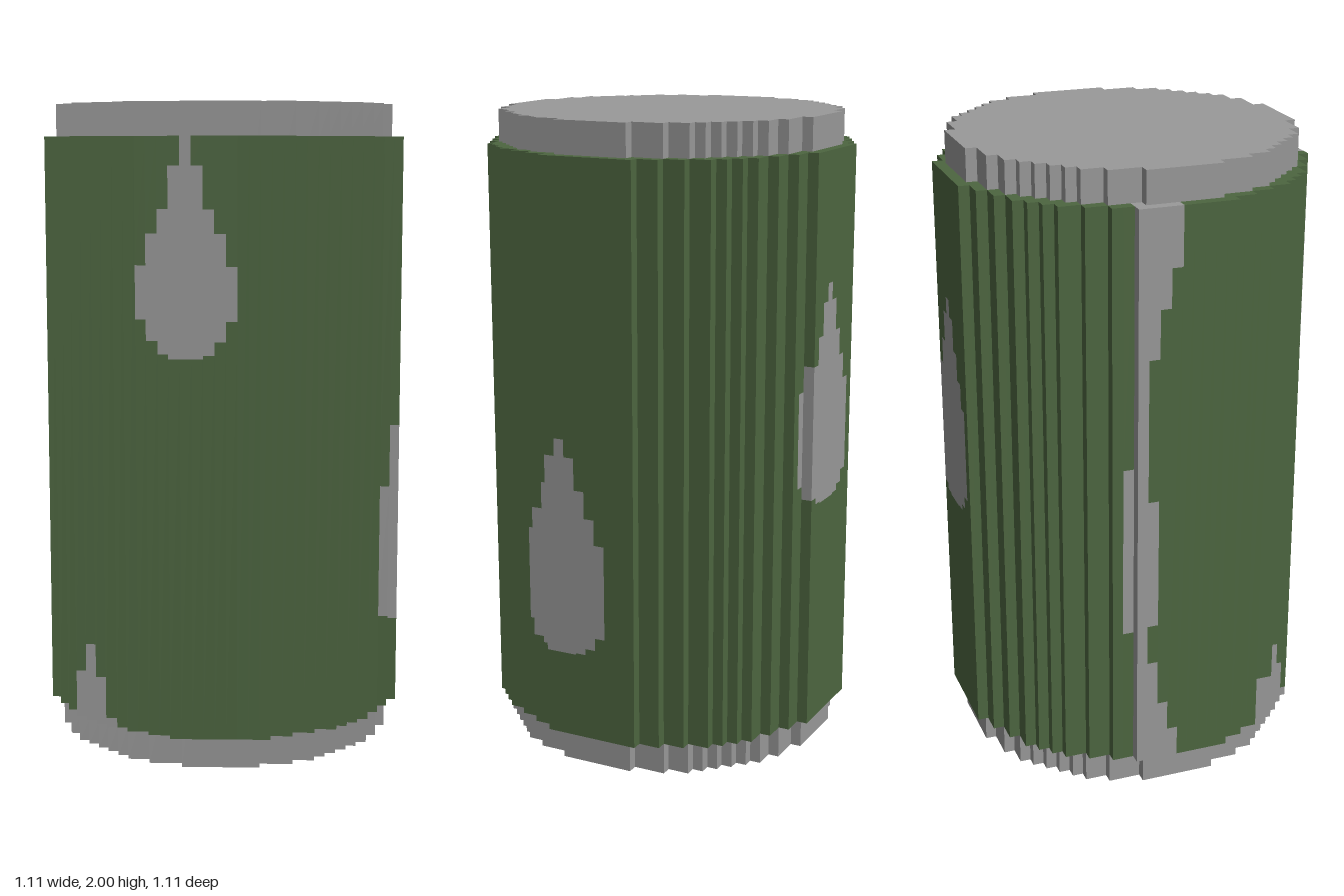
import * as THREE from 'three';
import { mergeGeometries } from 'three/addons/utils/BufferGeometryUtils.js';

const V = 0.0337;           // size of one block
const LOW = 0.1, HIGH = 1.9; // vertical extent of the painted sleeve
const inDisc = (i, j, r) => i * i + j * j <= r * r;

// Drop outlines: [bottom, top] per block column, from the middle outwards
const highDrop = [[1.255, 1.9], [1.255, 1.815], [1.265, 1.69], [1.305, 1.62], [1.365, 1.525]];
const lowDrop = [[0.37, 1.055], [0.37, 1.0], [0.375, 0.9], [0.395, 0.815], [0.435, 0.735]];
const midDrop = lowDrop.map(([a, b]) => [a + 0.445, b + 0.445]);

// Cut-off drops, by block index
const frontCorner = { '-13': [[LOW, 0.25]], '-12': [[LOW, 0.345]], '-11': [[LOW, 0.25]], '-10': [[LOW, 0.13]] };
const leftSeam = {
  '-5': [[0.55, 1.1]],
  '-4': [[LOW, HIGH]],
  '-3': [[LOW, 0.45], [0.58, 1.0], [1.45, HIGH]],
  '-2': [[LOW, 0.3], [1.6, HIGH]],
  '-1': [[LOW, 0.2], [1.72, HIGH]],
};

// Bare-metal height ranges of the sleeve column at block (i, j)
function metalRanges(i, j) {
  const pick = (table, offset) => (table[Math.abs(offset)] ? [table[Math.abs(offset)]] : []);
  if (j > 10 && i > -9) return pick(highDrop, i + 3);
  if (i > 10) return pick(lowDrop, j - 3);
  if (j < -10) return pick(midDrop, i - 1);
  if (j > 0 && i < -9) return frontCorner[i] || [];
  if (i < -10) return leftSeam[j] || [];
  return [];
}

// Upright quad on one side of a block column
function wall(i, j, di, dj, y0, y1) {
  const g = new THREE.PlaneGeometry(V, y1 - y0);
  g.rotateY(Math.atan2(di, dj));
  return g.translate((i + di / 2) * V, (y0 + y1) / 2, (j + dj / 2) * V);
}

// Level quad closing a block column above or below
function lid(i, j, y, up) {
  const g = new THREE.PlaneGeometry(V, V);
  g.rotateX(up ? -Math.PI / 2 : Math.PI / 2);
  return g.translate(i * V, y, j * V);
}

export function createModel() {
  const model = new THREE.Group();
  model.name = 'can';
  const metal = new THREE.MeshStandardMaterial({ color: 0x999999 });
  metal.name = 'bare metal grey';
  const paint = new THREE.MeshStandardMaterial({ color: 0x4d6640 });
  paint.name = 'sleeve green';

  const add = (name, parts, material) => {
    const mesh = new THREE.Mesh(mergeGeometries(parts), material);
    mesh.name = name;
    model.add(mesh);
  };

  // Metal core: one full-height bar per block row
  const core = [];
  for (let j = -15; j <= 15; j++) {
    const half = Math.floor(Math.sqrt(15.5 * 15.5 - j * j));
    core.push(new THREE.BoxGeometry((2 * half + 1) * V, 2, V).translate(0, 1, j * V));
  }
  add('core', core, metal);

  // Sleeve skin, split between paint and drop-shaped bare patches
  const green = [], grey = [];
  for (let i = -16; i <= 16; i++) {
    for (let j = -16; j <= 16; j++) {
      if (!inDisc(i, j, 16.5)) continue;
      const ranges = metalRanges(i, j);
      for (const [di, dj] of [[1, 0], [-1, 0], [0, 1], [0, -1]]) {
        if (inDisc(i + di, j + dj, 16.5)) continue;
        let y = LOW;
        for (const [a, b] of ranges) {
          if (a > y) green.push(wall(i, j, di, dj, y, a));
          grey.push(wall(i, j, di, dj, a, b));
          y = b;
        }
        if (y < HIGH) green.push(wall(i, j, di, dj, y, HIGH));
      }
      // Rims of the sleeve
      if (!inDisc(i, j, 15.5)) {
        const bareTop = ranges.some((r) => r[1] >= HIGH);
        const bareBottom = ranges.some((r) => r[0] <= LOW);
        (bareTop ? grey : green).push(lid(i, j, HIGH, true));
        (bareBottom ? grey : green).push(lid(i, j, LOW, false));
      }
    }
  }
  add('sleeve', green, paint);
  add('dropPatches', grey, metal);
  return model;
}
